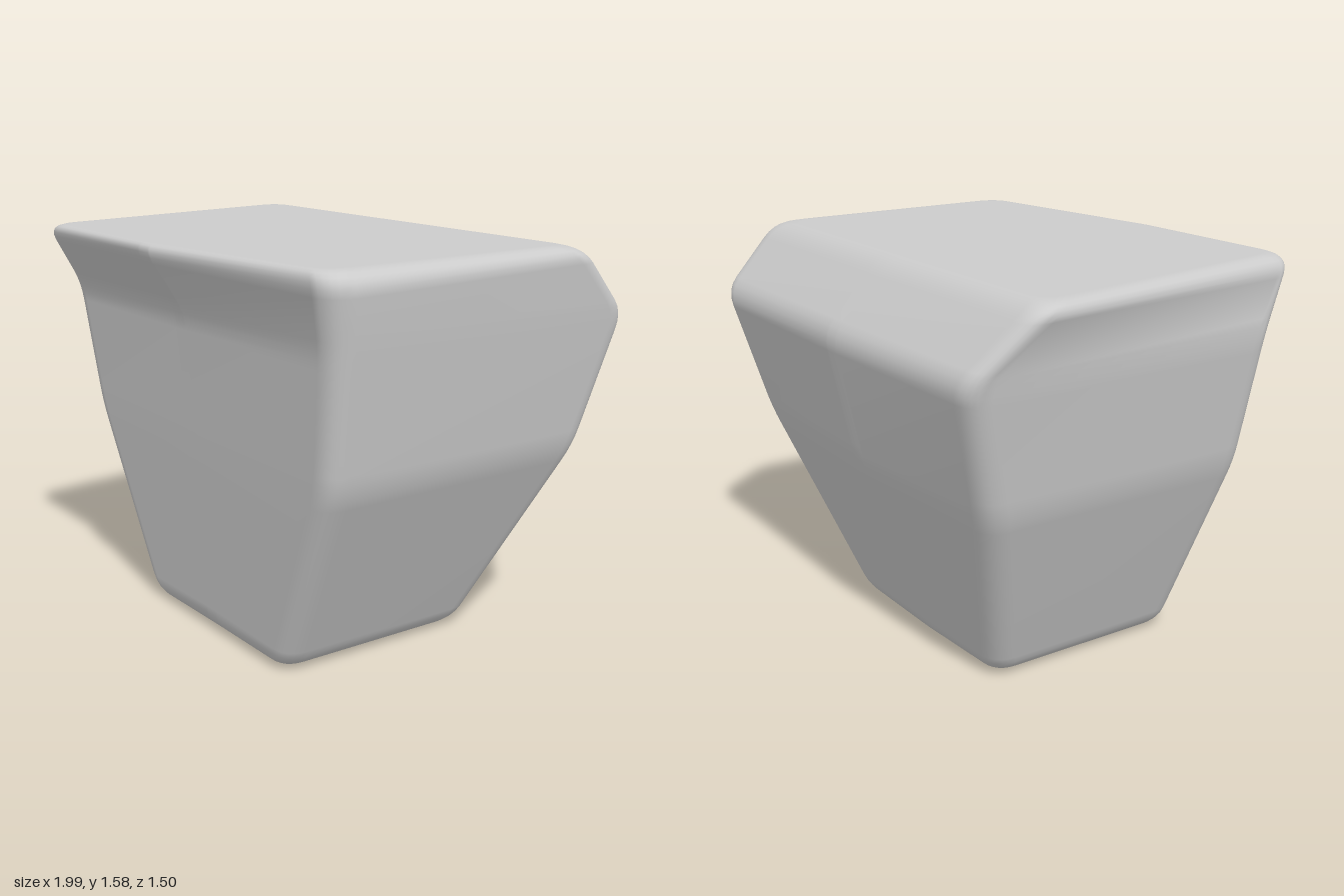
import * as THREE from 'three';

const V = (x, y, z) => new THREE.Vector3(x, y, z);

// point on the line from p towards q, at distance d
const toward = (p, q, d) => p.clone().lerp(q, Math.min(0.45, d / p.distanceTo(q)));

// samples of a rounded corner running from a to b around p
function fillet(a, p, b, n) {
  return new THREE.QuadraticBezierCurve3(a, p, b).getPoints(n);
}

// cage levels, each: front left, middle, right, then back right, middle, left (x, z)
const levels = [
  { y: 0, r: 0.09, pts: [[-0.49, 0.48], [0, 0.48], [0.5, 0.48], [0.5, -0.375], [0, -0.38], [-0.49, -0.36]] },
  { y: 0.8, r: 0.09, pts: [[-0.81, 0.555], [0, 0.555], [0.885, 0.555], [0.885, -0.635], [0, -0.655], [-0.81, -0.61]] },
  { y: 1.31, r: 0.09, pts: [[-0.895, 0.595], [0, 0.595], [0.97, 0.595], [0.97, -0.77], [0, -0.77], [-0.91, -0.755]] },
  { y: 1.575, r: 0.1, pts: [[-0.825, 0.77], [0, 0.77], [1.012, 0.64], [1.0, -0.52], [0, -0.52], [-1.025, -0.52]] },
];

// closed ring with the four outer corners rounded
function ring({ y, r, pts }) {
  const p = pts.map(([x, z]) => V(x, y, z));
  return p.flatMap((c, i) => {
    const prev = p[(i + 5) % 6], next = p[(i + 1) % 6];
    const d = i % 3 === 1 ? 0.04 : r; // the middle creases are tighter
    return fillet(toward(c, prev, d), c, toward(c, next, d), 6);
  });
}

function blockGeometry() {
  const rings = levels.map(ring);
  const bottom = V(0, 0, 0.05), top = V(0, 1.575, 0.1);

  // one vertical profile per ring point, rounded at every level
  const columns = rings[0].map((p0, i) => {
    const [, p1, p2, p3] = rings.map((r) => r[i]);
    return [
      bottom,
      ...fillet(p0.clone().lerp(bottom, 0.18), p0, toward(p0, p1, 0.1), 6),
      ...fillet(toward(p1, p0, 0.07), p1, toward(p1, p2, 0.07), 4),
      ...fillet(toward(p2, p1, 0.07), p2, toward(p2, p3, 0.07), 4),
      ...fillet(toward(p3, p2, 0.09), p3, p3.clone().lerp(top, 0.1), 6),
      top,
    ];
  });

  const n = columns.length, m = columns[0].length;
  const positions = columns.flatMap((c) => c.flatMap((p) => p.toArray()));
  const index = [];
  for (let i = 0; i < n; i++) {
    for (let j = 0; j < m - 1; j++) {
      const a = i * m + j, b = ((i + 1) % n) * m + j;
      if (j > 0) index.push(a, b, b + 1);
      if (j < m - 2) index.push(a, b + 1, a + 1);
      else if (j === m - 2) continue; // cap fan needs one triangle only
    }
  }
  const geometry = new THREE.BufferGeometry();
  geometry.setAttribute('position', new THREE.Float32BufferAttribute(positions, 3));
  geometry.setIndex(index);
  geometry.computeVertexNormals();
  return geometry;
}

export function createModel() {
  const group = new THREE.Group();
  group.name = 'taperedBlock';
  const block = new THREE.Mesh(blockGeometry(), new THREE.MeshStandardMaterial({ color: 0xcccccc }));
  block.name = 'roundedBlock';
  group.add(block);
  return group;
}
